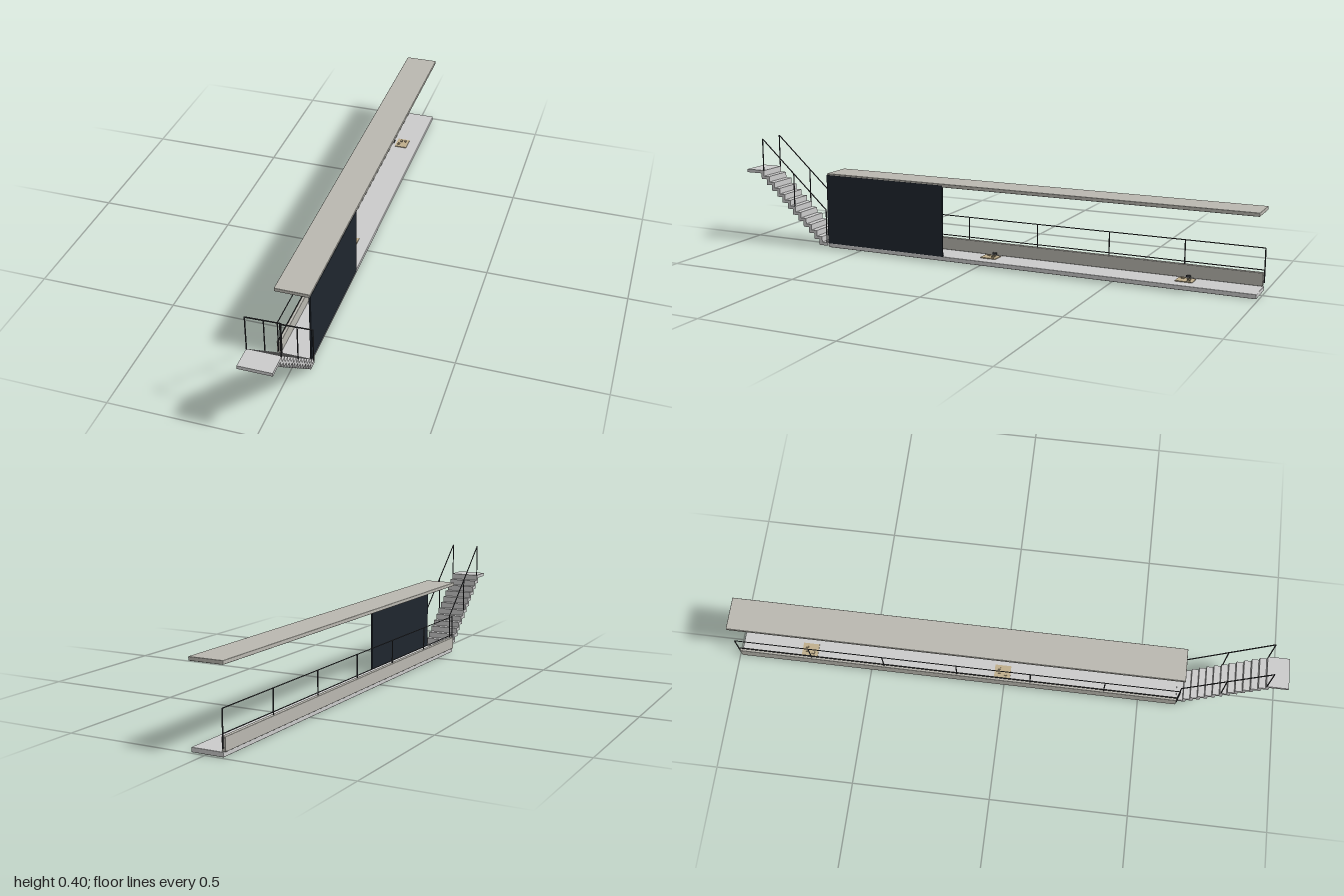
import * as THREE from 'three';
import { RoundedBoxGeometry } from 'three/addons/geometries/RoundedBoxGeometry.js';

const mat = (color) => new THREE.MeshStandardMaterial({ color });

export function createModel() {
  const model = new THREE.Group();
  const grey = mat(0xcccccc), concrete = mat(0xbab8b0), metal = mat(0x3c3d40);
  const glass = mat(0x1f262e), tan = mat(0xbfae8c);

  const add = (name, geometry, material, parent = model) => {
    const mesh = new THREE.Mesh(geometry, material);
    mesh.name = name;
    parent.add(mesh);
    return mesh;
  };
  // Box given by its minimum and maximum corners; r rounds the edges
  const block = (name, a, b, material, r = 0, parent = model) => {
    const s = b.map((v, i) => v - a[i]);
    const g = r ? new RoundedBoxGeometry(...s, 2, r) : new THREE.BoxGeometry(...s);
    const mesh = add(name, g, material, parent);
    mesh.position.set(...b.map((v, i) => (v + a[i]) / 2));
    return mesh;
  };
  // Thin round bar between two points
  const bar = (name, a, b, parent, r = 0.0022) => {
    const p = new THREE.Vector3(...a), q = new THREE.Vector3(...b);
    const mesh = add(name, new THREE.CylinderGeometry(r, r, p.distanceTo(q), 8), metal, parent);
    mesh.position.copy(p).add(q).multiplyScalar(0.5);
    mesh.quaternion.setFromUnitVectors(new THREE.Vector3(0, 1, 0), q.sub(p).normalize());
  };

  const zBack = -0.992, zFront = 0.641;

  // Walkway, roof, parapet and dark side screen
  block('floorSlab', [-0.06, 0, zBack], [0.053, 0.016, zFront], grey, 0.002);
  block('roof', [-0.066, 0.273, zBack], [0.055, 0.286, zFront], concrete, 0.002);
  block('parapet', [-0.066, 0.016, zBack + 0.003], [-0.052, 0.062, zFront - 0.003], concrete, 0.002);
  block('sideScreen', [0.05, 0.016, 0.15], [0.056, 0.28, zFront], glass);

  // Railing on the parapet; the end posts run down the end faces
  const railing = new THREE.Group();
  railing.name = 'parapetRailing';
  model.add(railing);
  const railX = -0.059;
  for (const y of [0.071, 0.146]) bar('rail', [railX, y, zBack], [railX, y, zFront], railing, 0.0018);
  for (let i = 0; i <= 6; i++) {
    const z = zBack + (zFront - zBack) * i / 6;
    bar('railPost', [railX, i % 6 ? 0.06 : 0.027, z], [railX, 0.146, z], railing);
  }

  // Folded stair with landing, extruded from a stepped profile in z and y
  const steps = 12, rise = 0.0214, run = 0.0235, t = 0.012;
  const z0 = 0.64, y0 = 0.02, xL = -0.048, xR = 0.064;
  const top = [], under = [];
  for (let k = 0; k <= steps; k++) {
    const z = z0 + run * k, y = y0 + rise * k;
    const zEnd = k === steps ? 1 : z + run;
    top.push(new THREE.Vector2(z, y), new THREE.Vector2(zEnd, y));
    under.push(new THREE.Vector2(k ? z + t : z, y - t), new THREE.Vector2(k === steps ? 1 : zEnd + t, y - t));
  }
  const stairGeo = new THREE.ExtrudeGeometry(new THREE.Shape([...top, ...under.reverse()]),
    { depth: xR - xL, bevelEnabled: false });
  stairGeo.rotateY(-Math.PI / 2).translate(xR, 0, 0);
  add('stair', stairGeo, grey);

  // Sloping handrails on both sides of the stair
  const railY = (z) => 0.147 + (z - 0.643) * 0.9;
  for (const x of [xL + 0.0015, xR - 0.0015]) {
    const side = new THREE.Group();
    side.name = x > 0 ? 'leftStairRail' : 'rightStairRail';
    model.add(side);
    bar('handrail', [x, railY(0.643), 0.643], [x, railY(0.924), 0.924], side);
    for (const z of [0.643, 0.785, 0.924]) {
      const k = Math.floor((z - z0) / run);
      bar('stairPost', [x, y0 + rise * k - 0.002, z], [x, railY(z), z], side);
    }
  }

  // Floor plates with small fittings, and a little box on the parapet beside each
  for (const z of [-0.01, -0.737]) {
    const patch = new THREE.Group();
    patch.name = 'floorFitting';
    patch.position.set(-0.015, 0.016, z);
    model.add(patch);
    block('plate', [-0.024, 0, -0.03], [0.024, 0.003, 0.03], tan, 0, patch);
    for (const [x, dz] of [[-0.012, 0.012], [0.01, -0.014], [-0.006, -0.012]])
      block('fitting', [x - 0.004, 0.003, dz - 0.005], [x + 0.004, 0.008, dz + 0.005], tan, 0, patch);
    block('wallBox', [-0.037, 0.003, -0.008], [-0.032, 0.01, 0.008], metal, 0, patch);
  }

  // Ceiling lamps
  for (const z of [0.09, -0.367, -0.81]) {
    const lamp = add('ceilingLamp', new THREE.CylinderGeometry(0.004, 0.004, 0.004, 12), metal);
    lamp.position.set(-0.005, 0.272, z);
  }
  return model;
}
